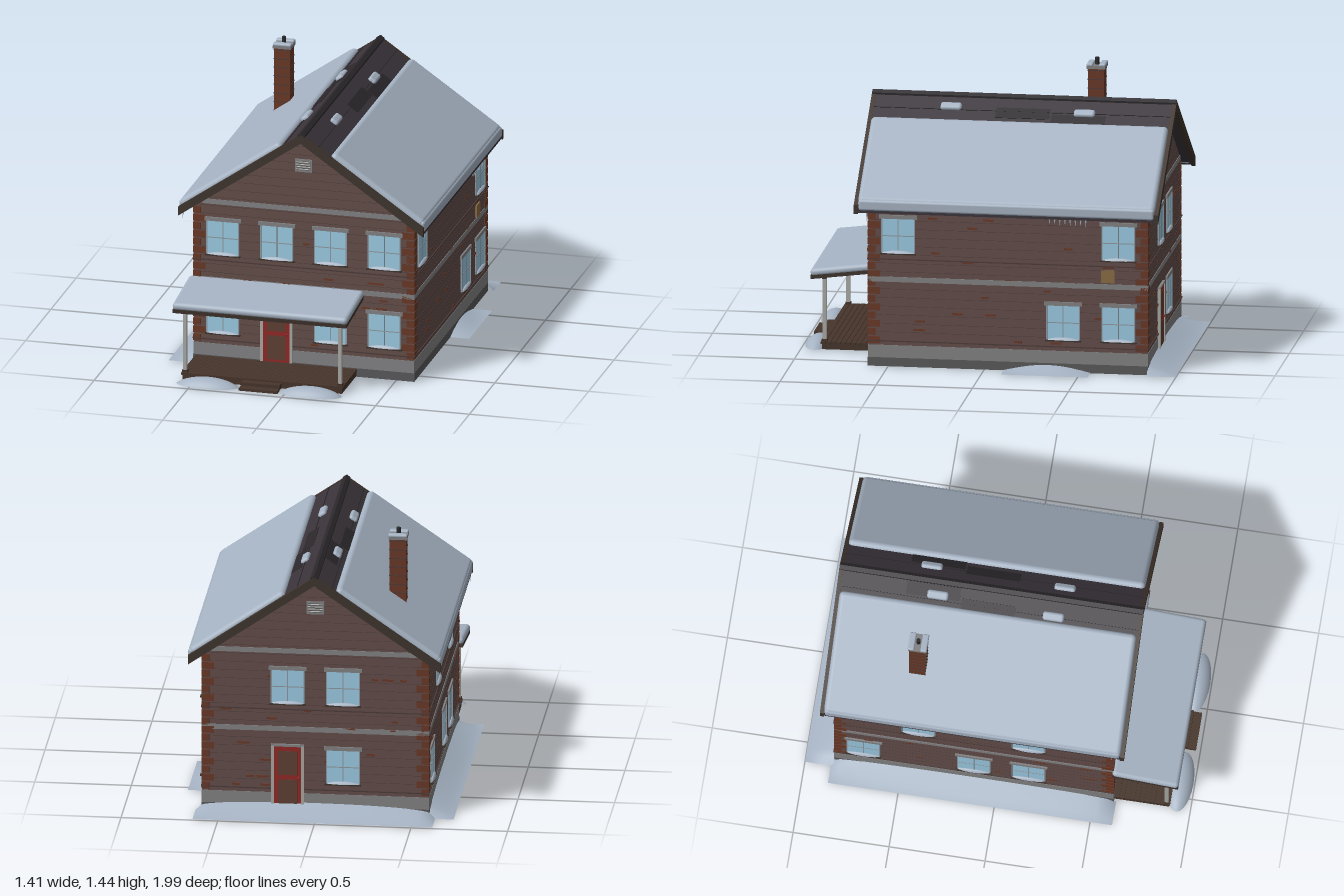
import * as THREE from 'three';
import { RoundedBoxGeometry } from 'three/addons/geometries/RoundedBoxGeometry.js';

const mat = (color, extra = {}) => new THREE.MeshStandardMaterial({ color, ...extra });
const M = {
  wall: mat(0x644d4a), mortar: mat(0x4c3b38), brick: mat(0x693826), stone: mat(0x828284),
  base: mat(0x59595b), snow: mat(0xa6b3c3), roof: mat(0x3a343a), patch: mat(0x2b272b),
  trim: mat(0x3f342d), wood: mat(0x46352b), glass: mat(0x9ccbe4), frame: mat(0x8f9aa2),
  post: mat(0xa8a8a4), red: mat(0x912826), panel: mat(0x5f4034), tan: mat(0x8a6d44),
  metal: mat(0x2a2a2c), ice: mat(0xa8bccb), earth: mat(0x5c4d3c),
  drift: mat(0xa6b3c3, { side: THREE.DoubleSide }),
};

const CX = 0.01, CZ = -0.125, W = 1.172, D = 1.452;     // house footprint
const APEX = 1.315, SLOPE = 0.692, ANGLE = Math.atan(SLOPE), HALF = 0.65;

let seed = 7;
const rand = () => (seed = (seed * 16807) % 2147483647) / 2147483647;

function add(parent, name, geo, material, x = 0, y = 0, z = 0) {
  const m = new THREE.Mesh(geo, material);
  m.name = name;
  m.position.set(x, y, z);
  parent.add(m);
  return m;
}
const box = (p, name, material, w, h, d, x, y, z) =>
  add(p, name, new THREE.BoxGeometry(w, h, d), material, x, y, z);
const soft = (p, name, w, h, d, r, x, y, z) =>
  add(p, name, new RoundedBoxGeometry(w, h, d, 4, r), M.snow, x, y, z);
// Shallow lens-shaped heap of snow
function mound(p, name, w, h, d, x, y, z) {
  const geo = new THREE.SphereGeometry(1, 24, 8, 0, Math.PI * 2, 0, 1).translate(0, -Math.cos(1), 0);
  geo.scale(w / 2 / Math.sin(1), h / (1 - Math.cos(1)), d / 2 / Math.sin(1));
  return add(p, name, geo, M.drift, x, y, z);
}
function prism(p, name, pts, z0, depth, material) {
  const shape = new THREE.Shape(pts.map(([x, y]) => new THREE.Vector2(x, y)));
  return add(p, name, new THREE.ExtrudeGeometry(shape, { depth, bevelEnabled: false }), material, CX, 0, z0);
}

// Wall fittings: u runs along the wall, local +z points outward
function addWindow(face, u, y) {
  const g = new THREE.Group();
  g.name = 'window';
  g.position.set(u, y, 0);
  face.add(g);
  box(g, 'glass', M.glass, 0.168, 0.18, 0.006, 0, 0, 0.001);
  for (const s of [-1, 1]) box(g, 'jamb', M.frame, 0.006, 0.185, 0.012, s * 0.085, 0, 0.002);
  box(g, 'mullion', M.frame, 0.005, 0.18, 0.01, 0, 0, 0.001);
  box(g, 'crossBar', M.frame, 0.168, 0.005, 0.01, 0, 0, 0.001);
  box(g, 'lintel', M.stone, 0.196, 0.02, 0.014, 0, 0.1, 0.002);
  box(g, 'sill', M.trim, 0.186, 0.007, 0.026, 0, -0.094, 0.004);
  mound(g, 'sillSnow', 0.175, 0.014, 0.028, 0, -0.091, 0.005);
}
function addDoor(face, u) {
  const g = new THREE.Group();
  g.name = 'door';
  g.position.set(u, 0, 0);
  face.add(g);
  box(g, 'doorLeaf', M.red, 0.142, 0.325, 0.012, 0, 0.208, 0.003);
  for (const y of [0.125, 0.28]) box(g, 'doorPanel', M.panel, 0.1, 0.13, 0.004, 0, y, 0.009);
  for (const s of [-1, 1]) box(g, 'doorJamb', M.post, 0.014, 0.33, 0.02, s * 0.078, 0.21, 0.004);
  box(g, 'doorHead', M.stone, 0.17, 0.012, 0.02, 0, 0.376, 0.004);
  add(g, 'doorKnob', new THREE.SphereGeometry(0.006, 10, 8), M.red, 0.058, 0.2, 0.012);
}
function addVent(face) {
  box(face, 'ventFrame', M.stone, 0.092, 0.068, 0.012, 0, 1.13, 0.002);
  box(face, 'ventOpening', M.base, 0.074, 0.05, 0.004, 0, 1.13, 0.007);
  for (let i = 0; i < 4; i++) {
    box(face, 'ventSlat', M.post, 0.074, 0.006, 0.008, 0, 1.111 + i * 0.0127, 0.009).rotation.x = 0.5;
  }
}
// Snow bank sloping away from a wall
function addDrift(face, u, w, depth, h, taper) {
  const geo = new THREE.PlaneGeometry(w, depth, 32, 8).rotateX(-Math.PI / 2).translate(0, 0, depth / 2);
  const p = geo.attributes.position;
  for (let i = 0; i < p.count; i++) {
    const t = THREE.MathUtils.clamp(p.getZ(i) / depth, 0, 1);
    const s = THREE.MathUtils.clamp(p.getX(i) / w + 0.5, 0, 1);
    const end = Math.max(0, Math.sin(Math.PI * s)) ** taper;
    p.setY(i, 0.006 + h * (1 - t) ** 1.2 * end);
  }
  geo.computeVertexNormals();
  add(face, 'snowDrift', geo, M.drift, u, 0, 0);
}
function addLooseBricks(face, width, count) {
  for (let i = 0; i < count; i++) {
    const row = Math.floor(rand() * 15);
    box(face, 'exposedBrick', M.brick, 0.03 + rand() * 0.035, 0.011, 0.006,
      (rand() - 0.5) * (width - 0.2), 0.155 + row * 0.0455, 0);
  }
}

export function createModel() {
  const root = new THREE.Group();
  root.name = 'house';

  // Walls with gables, masonry courses and bands
  const wallTop = APEX - 0.045;
  const eaveY = wallTop - W / 2 * SLOPE;
  prism(root, 'walls', [[-W / 2, 0.01], [W / 2, 0.01], [W / 2, eaveY], [0, wallTop], [-W / 2, eaveY]],
    CZ - D / 2, D, M.wall);
  for (let y = 0.14; y < 1.24; y += 0.0455) {
    const w = Math.min(W + 0.003, 2 * (wallTop - y) / SLOPE);
    box(root, 'course', M.mortar, w, 0.002, D + 0.003, CX, y, CZ);
  }
  box(root, 'footing', M.base, W + 0.006, 0.046, D + 0.006, CX, 0.027, CZ);
  box(root, 'floorUnderside', M.earth, W - 0.04, 0.006, D - 0.04, CX, 0.003, CZ);
  box(root, 'foundation', M.stone, W + 0.004, 0.066, D + 0.004, CX, 0.083, CZ);
  box(root, 'beltCourse', M.stone, W + 0.006, 0.027, D + 0.006, CX, 0.464, CZ);
  box(root, 'gableBand', M.stone, 1.08, 0.026, D + 0.006, CX, 0.889, CZ);
  for (const y of [0.138, 0.571]) box(root, 'stringCourse', M.mortar, W + 0.012, 0.006, D + 0.012, CX, y, CZ);
  for (const sx of [-1, 1]) for (const sz of [-1, 1]) for (let i = 0; i < 17; i++) {
    const long = i % 2 ? 0.065 : 0.04;
    box(root, 'quoin', M.brick, long, 0.036, 0.105 - long,
      CX + sx * (W / 2 + 0.003 - long / 2), 0.142 + i * 0.0435, CZ + sz * (D / 2 + 0.003 - (0.105 - long) / 2));
  }

  // Four faces with their openings
  const LOW = 0.266, HIGH = 0.695;
  const faces = [
    { name: 'frontFace', x: CX, z: CZ + D / 2, r: 0, w: W, door: -0.144, vent: true,
      high: [-0.43, -0.143, 0.143, 0.43], low: [-0.43, 0.143, 0.43] },
    { name: 'backFace', x: CX, z: CZ - D / 2, r: Math.PI, w: W, door: -0.143, vent: true,
      high: [-0.143, 0.143], low: [0.143], drift: [0, 1.24, 0.149, 0.06, 0.25] },
    { name: 'leftFace', x: CX + W / 2, z: CZ, r: Math.PI / 2, w: D,
      high: [-0.57, 0.575], low: [0.288, 0.575], drift: [0.205, 0.45, 0.105, 0.035, 1] },
    { name: 'rightFace', x: CX - W / 2, z: CZ, r: -Math.PI / 2, w: D,
      high: [-0.288, 0.285], low: [-0.575, 0, 0.285], drift: [0, 1.48, 0.13, 0.06, 0.25] },
  ];
  for (const f of faces) {
    const g = new THREE.Group();
    g.name = f.name;
    g.position.set(f.x, 0, f.z);
    g.rotation.y = f.r;
    root.add(g);
    f.high.forEach(u => addWindow(g, u, HIGH));
    f.low.forEach(u => addWindow(g, u, LOW));
    if (f.door !== undefined) addDoor(g, f.door);
    if (f.vent) addVent(g);
    if (f.drift) addDrift(g, ...f.drift);
    if (f.name === 'leftFace') box(g, 'meterBox', M.tan, 0.07, 0.065, 0.01, 0.52, 0.518, 0.004);
    addLooseBricks(g, f.w, 22);
  }

  // Roof with barge boards and ridge cap
  const chevron = (half, top, t) => {
    const e = top - half * SLOPE;
    return [[0, top], [-half, e], [-half, e - t], [0, top - t], [half, e - t], [half, e]];
  };
  prism(root, 'roof', chevron(HALF, APEX, 0.04), -0.905, 1.56, M.roof);
  for (const z of [-0.917, 0.645]) prism(root, 'bargeBoard', chevron(HALF + 0.003, APEX + 0.003, 0.048), z, 0.022, M.trim);
  prism(root, 'ridgeCap', chevron(0.02, APEX + 0.01, 0.02), -0.915, 1.58, M.patch);

  // Objects lying on a slope: s is the side, d the distance from the ridge in plan
  const onRoof = (m, s, d, z, lift) => {
    m.position.set(CX + s * (d + lift * Math.sin(ANGLE)), APEX - d * SLOPE + lift * Math.cos(ANGLE), z);
    m.rotation.z = -s * ANGLE;
  };
  for (const [s, d0, d1] of [[1, 0.155, 0.642], [-1, 0.11, 0.645]]) {
    const len = (d1 - d0) / Math.cos(ANGLE);
    onRoof(soft(root, 'roofSnow', len, 0.052, 1.545, 0.024, 0, 0, 0), s, (d0 + d1) / 2, CZ, 0);
    // Snow curling over the eave
    soft(root, 'eaveSnow', 0.034, 0.06, 1.54, 0.015, CX + s * 0.638, 0.865, CZ);
    onRoof(box(root, 'shingleCourse', M.patch, 0.004, 0.004, 1.56, 0, 0, 0), s, 0.09, CZ, 0.001);
  }
  for (const [s, d, z, w, l] of [[1, 0.13, -0.42, 0.07, 0.28], [1, 0.1, -0.13, 0.07, 0.28],
    [-1, 0.05, -0.42, 0.07, 0.28], [-1, 0.09, -0.13, 0.06, 0.28]]) {
    onRoof(box(root, 'shinglePatch', M.patch, w, 0.003, l, 0, 0, 0), s, d, z, 0.001);
  }
  for (const [s, d, z] of [[-1, 0.065, -0.395], [1, 0.09, -0.45], [-1, 0.085, 0.21], [1, 0.075, 0.245]]) {
    onRoof(soft(root, 'snowClump', 0.046, 0.03, 0.11, 0.014, 0, 0, 0), s, d, z, 0.003);
  }

  // Icicles under the eaves
  const icicle = (x, z, h) => {
    add(root, 'icicle', new THREE.ConeGeometry(0.005, h, 6), M.ice, x, 0.83 - h / 2, z).rotation.x = Math.PI;
  };
  for (let i = 0; i < 8; i++) icicle(CX + 0.645, -0.35 - i * 0.027, 0.025 + rand() * 0.025);
  for (const s of [-1, 1]) icicle(CX + s * 0.645, 0.6, 0.05);

  // Chimney
  const chimney = new THREE.Group();
  chimney.name = 'chimney';
  chimney.position.set(-0.377, 0, -0.445);
  root.add(chimney);
  box(chimney, 'stack', M.brick, 0.084, 0.4, 0.084, 0, 1.19, 0);
  for (let y = 1.05; y < 1.38; y += 0.047) box(chimney, 'stackCourse', M.mortar, 0.088, 0.005, 0.088, 0, y, 0);
  box(chimney, 'cap', M.stone, 0.096, 0.016, 0.096, 0, 1.396, 0);
  for (const s of [-1, 1]) soft(chimney, 'capSnow', 0.098, 0.018, 0.034, 0.008, 0, 1.408, s * 0.033);
  add(chimney, 'flue', new THREE.CylinderGeometry(0.011, 0.011, 0.05, 12), M.metal, 0, 1.416, 0);

  // Porch
  const porch = new THREE.Group();
  porch.name = 'porch';
  porch.position.x = -0.135;
  root.add(porch);
  const tilt = 0.125;
  box(porch, 'porchRoof', M.trim, 0.925, 0.02, 0.345, 0, 0.416, 0.77).rotation.x = tilt;
  soft(porch, 'porchSnow', 0.932, 0.042, 0.348, 0.02, 0, 0.438, 0.77).rotation.x = tilt;
  box(porch, 'porchBeam', M.trim, 0.87, 0.016, 0.02, 0, 0.389, 0.875);
  for (const s of [-1, 1]) {
    box(porch, 'porchPost', M.post, 0.02, 0.345, 0.02, s * 0.413, 0.215, 0.875);
    box(porch, 'postFoot', M.wood, 0.028, 0.02, 0.028, s * 0.413, 0.05, 0.875);
  }
  for (let i = 0; i < 11; i++) box(porch, 'deckPlank', M.wood, 0.86, 0.012, 0.024, 0, 0.041, 0.618 + i * 0.0264);
  box(porch, 'deckFrame', M.wood, 0.85, 0.03, 0.29, 0, 0.022, 0.743);
  box(porch, 'upperStep', M.wood, 0.205, 0.026, 0.05, 0.002, 0.025, 0.91);
  box(porch, 'lowerStep', M.wood, 0.205, 0.014, 0.045, 0.002, 0.014, 0.955);
  for (const x of [-0.28, 0.27]) mound(porch, 'porchDrift', 0.33, 0.042, 0.13, x, 0.004, 0.928);

  return root;
}
